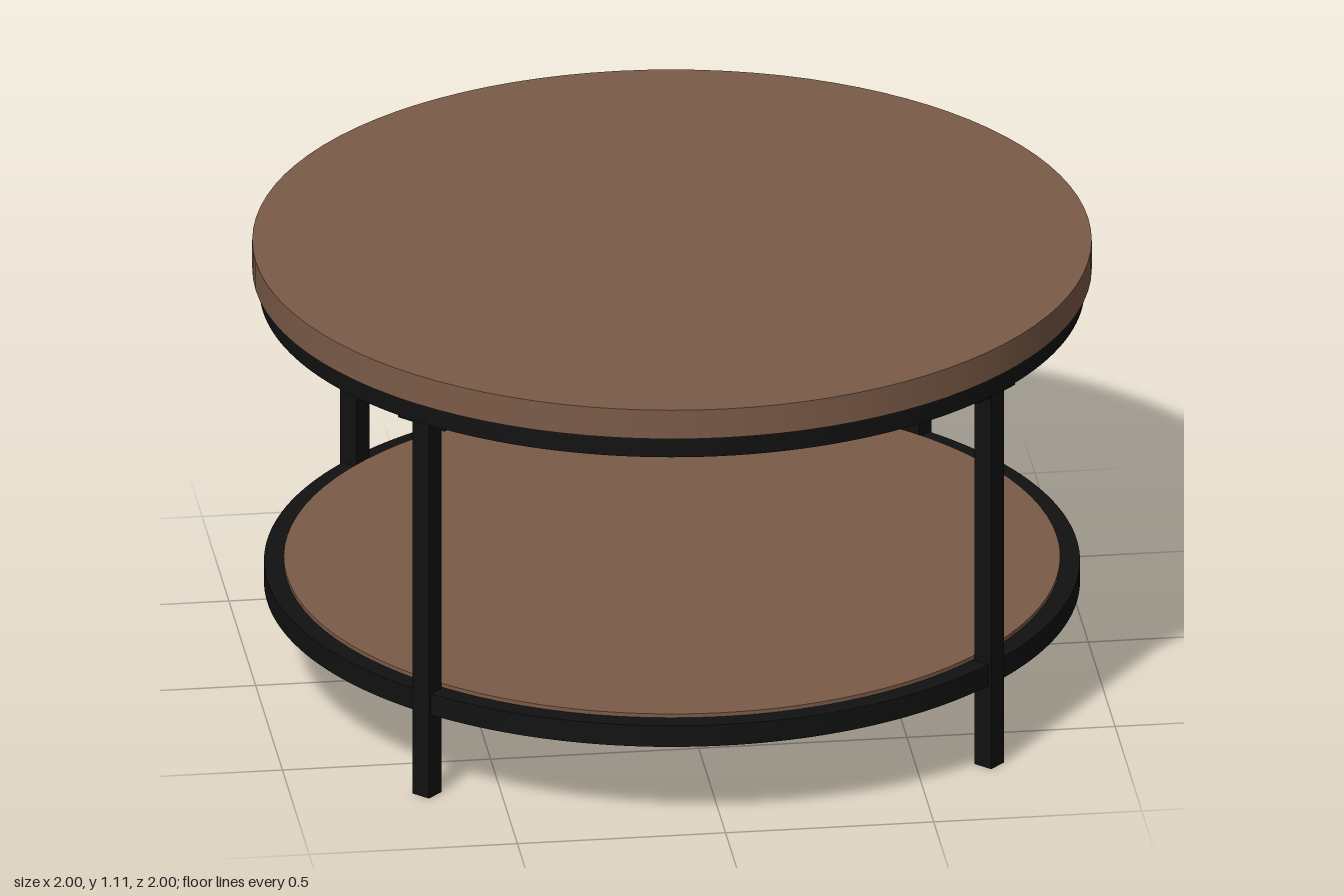
import * as THREE from 'three';

export function createModel() {
  const table = new THREE.Group();
  table.name = 'roundTable';

  const wood = new THREE.MeshStandardMaterial({ color: 0x7b5b48 });
  wood.name = 'brownWood';
  const metal = new THREE.MeshStandardMaterial({ color: 0x111111 });
  metal.name = 'blackMetal';

  function add(name, geometry, material, parent = table) {
    const mesh = new THREE.Mesh(geometry, material);
    mesh.name = name;
    parent.add(mesh);
    return mesh;
  }

  // Round wooden board between two heights
  function disc(name, radius, y0, y1) {
    const g = new THREE.CylinderGeometry(radius, radius, y1 - y0, 96);
    add(name, g.translate(0, (y0 + y1) / 2, 0), wood);
  }

  // Flat-sided metal hoop with a rectangular section
  function hoop(name, inner, outer, y0, y1) {
    const shape = new THREE.Shape().absarc(0, 0, outer, 0, Math.PI * 2, false);
    shape.holes.push(new THREE.Path().absarc(0, 0, inner, 0, Math.PI * 2, true));
    const g = new THREE.ExtrudeGeometry(shape, { depth: y1 - y0, bevelEnabled: false, curveSegments: 96 });
    add(name, g.rotateX(-Math.PI / 2).translate(0, y0, 0), metal);
  }

  disc('tableTop', 1, 1.03, 1.105);
  hoop('topRing', 0.925, 0.983, 0.975, 1.03);
  disc('lowerShelf', 0.925, 0.217, 0.28);
  hoop('shelfRing', 0.924, 0.972, 0.215, 0.27);

  // Four square legs facing outward on the diagonals, each with a mounting plate
  for (let i = 0; i < 4; i++) {
    const leg = new THREE.Group();
    leg.name = 'legAssembly' + (i + 1);
    leg.rotation.y = Math.PI / 4 + (i * Math.PI) / 2;
    add('leg', new THREE.BoxGeometry(0.05, 0.975, 0.05), metal, leg).position.set(0, 0.4875, 0.955);
    add('mountingPlate', new THREE.BoxGeometry(0.14, 0.008, 0.05), metal, leg).position.set(0, 0.972, 0.953);
    table.add(leg);
  }

  return table;
}
